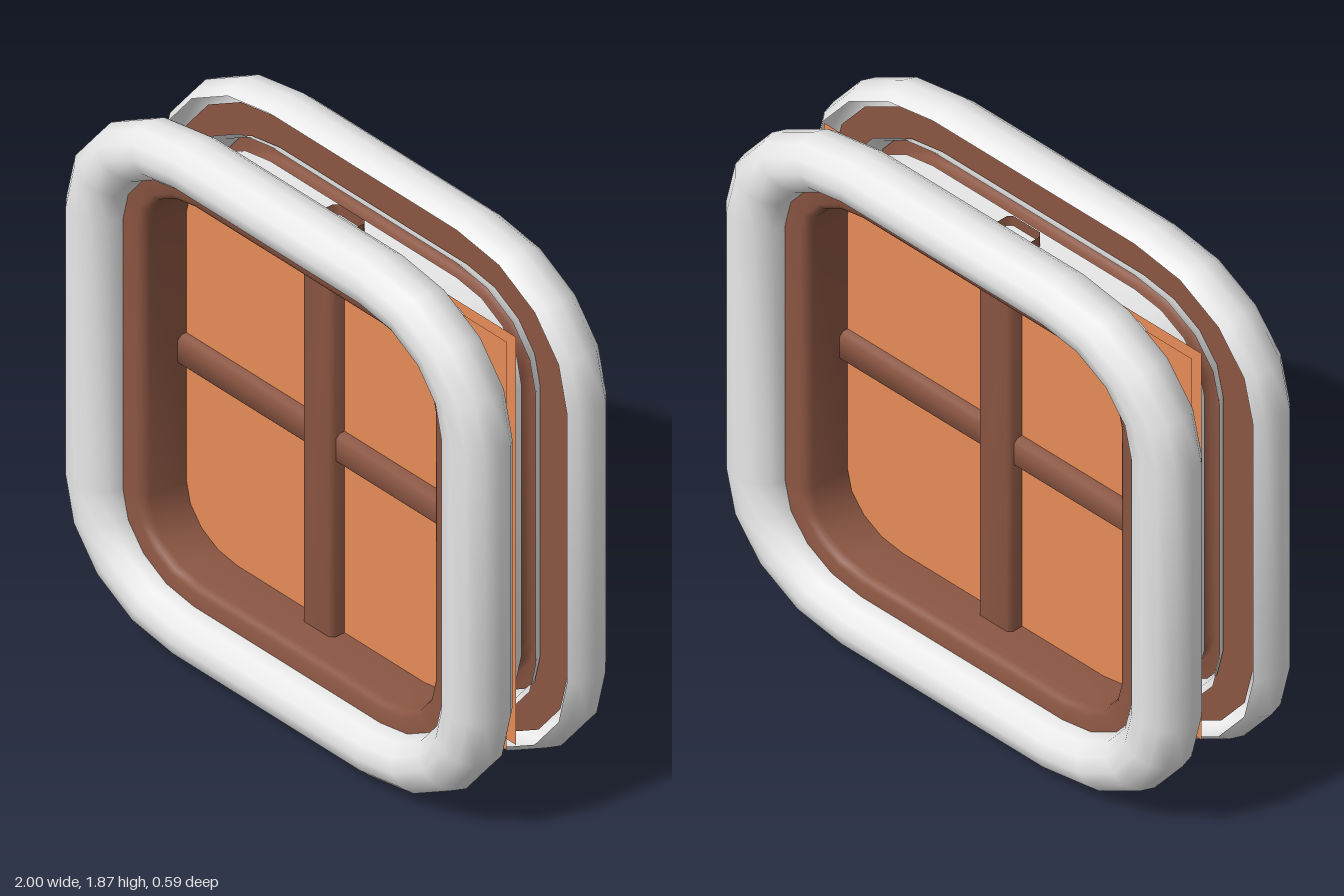
import * as THREE from 'three';
import { toCreasedNormals } from 'three/addons/utils/BufferGeometryUtils.js';

const CY = 0.935; // height of the window centre

// Sweep a profile of [corner radius, z] points around a rounded rectangle.
function sweep(profile) {
  const pos = [], index = [], n = 20, m = profile.length;
  for (let i = 0; i < n; i++) {
    const corner = Math.floor(i / 5);
    const a = (corner + (i % 5) / 4) * Math.PI / 2;
    const sx = corner === 0 || corner === 3 ? 1 : -1;
    const sy = corner < 2 ? 1 : -1;
    for (const [r, z] of profile) {
      pos.push(sx * 0.44 + r * Math.cos(a), sy * 0.485 + 0.8 * r * Math.sin(a), z);
    }
  }
  for (let i = 0; i < n; i++) {
    for (let j = 0; j < m - 1; j++) {
      const a = i * m + j, b = ((i + 1) % n) * m + j;
      index.push(a, b, b + 1, a, b + 1, a + 1);
    }
  }
  const g = new THREE.BufferGeometry();
  g.setAttribute('position', new THREE.Float32BufferAttribute(pos, 3));
  g.setIndex(index);
  return toCreasedNormals(g, 0.9);
}

// Open-ended bar with soft chamfered edges, running along y.
function bar(width, depth, length) {
  const g = new THREE.CylinderGeometry(1, 1, length, 8, 1, true, Math.PI / 8);
  const p = g.attributes.position;
  const snap = (v, half) => Math.sign(v) * (Math.abs(v) > 0.6 ? half : half - 0.015);
  for (let i = 0; i < p.count; i++) {
    p.setX(i, snap(p.getX(i), width / 2));
    p.setZ(i, snap(p.getZ(i), depth / 2));
  }
  return toCreasedNormals(g, 0.9);
}

export function createModel() {
  const model = new THREE.Group();
  model.name = 'window';
  const mat = (name, color) => {
    const m = new THREE.MeshStandardMaterial({ color, side: THREE.DoubleSide });
    m.name = name;
    return m;
  };
  const grey = mat('light grey', 0xe7e7e7);
  const brown = mat('brown', 0x8a5542);
  const orange = mat('orange', 0xe58b56);

  const add = (parent, name, geometry, material) => {
    const mesh = new THREE.Mesh(geometry, material);
    mesh.name = name;
    parent.add(mesh);
    return mesh;
  };

  // Rounded outer ring, open on its inner side
  const ring = sweep([-50, -30, 0, 30, 60, 90, 120, 150, 180, 210, 230].map((d) => {
    const a = d * Math.PI / 180;
    return [0.445 + 0.115 * Math.cos(a), 0.19 + 0.105 * Math.sin(a)];
  }));

  // Back of the frame, set inside the ring
  const frameBack = sweep([[0.345, 0.15], [0.477, 0.15]]);

  // Inner frame: front lip, soft edge and jamb
  const frame = sweep([[0.37, 0.197], [0.27, 0.197], [0.25, 0.187], [0.242, 0.165], [0.24, 0]]);
  const pane = new THREE.PlaneGeometry(1.65, 1.47);

  // The same half is used on both faces
  for (const side of ['front', 'back']) {
    const half = new THREE.Group();
    half.name = side + 'Half';
    add(half, 'outerRing', ring, grey);
    add(half, 'frameBack', frameBack, brown);
    add(half, 'innerFrame', frame, brown);
    add(half, 'pane', pane, orange).position.z = 0.02;
    half.position.y = CY;
    if (side === 'back') half.rotation.y = Math.PI;
    model.add(half);
  }

  // Band joining the two halves
  add(model, 'band', sweep([[0.305, -0.11], [0.305, 0.11]]), grey).position.y = CY;

  // Cross bars
  add(model, 'verticalBar', bar(0.146, 0.144, 1.53), brown).position.set(-0.009, CY, 0);
  const cross = add(model, 'horizontalBar', bar(0.108, 0.11, 1.44), brown);
  cross.rotation.z = Math.PI / 2;
  cross.position.y = CY - 0.005;

  return model;
}
